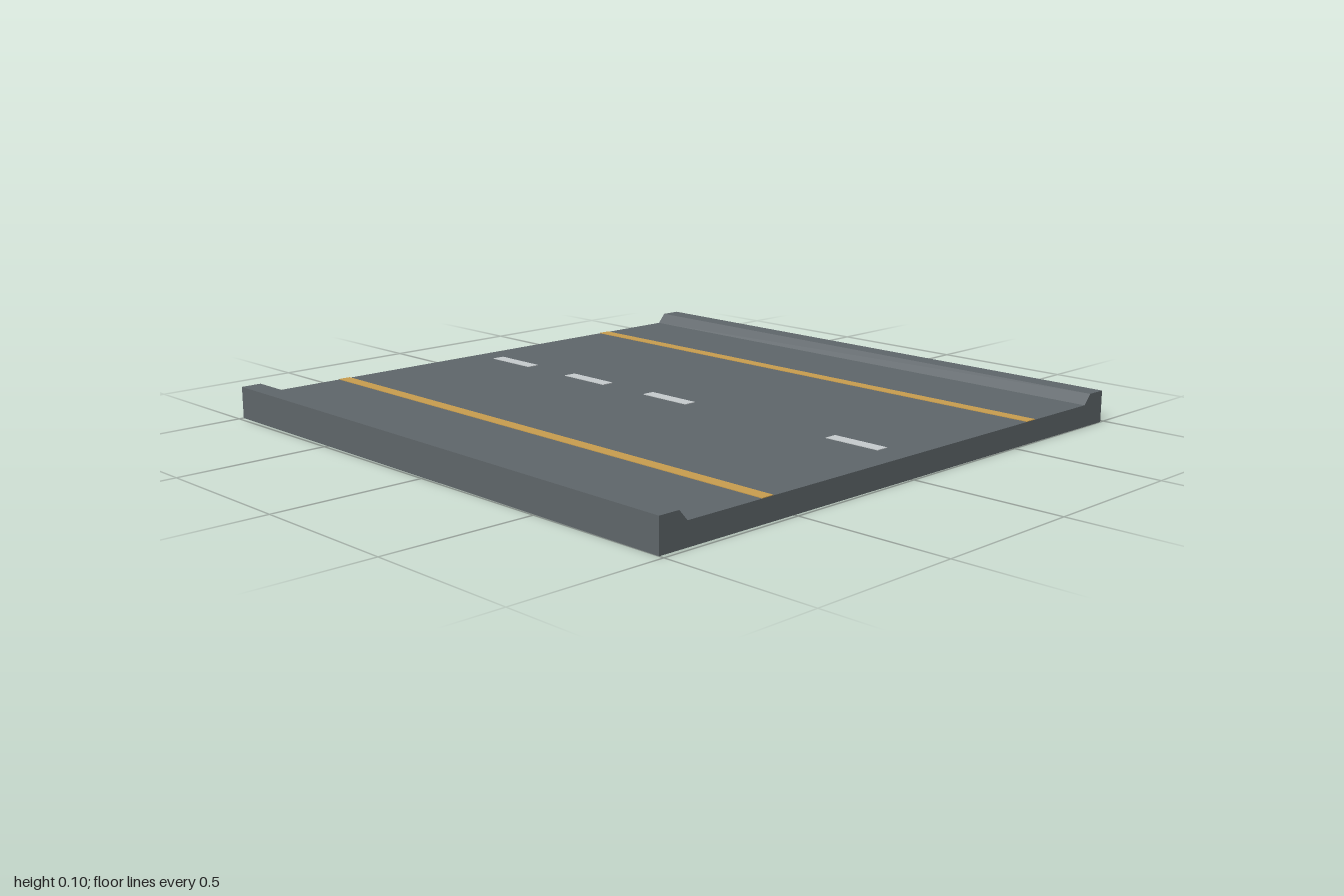
import * as THREE from 'three';

const HALF = 0.9915, ROAD_Y = 0.072, CURB_Y = 0.105;

function material(name, color) {
  const m = new THREE.MeshStandardMaterial({ color });
  m.name = name;
  return m;
}

export function createModel() {
  const asphalt = material('asphalt grey', 0x5f666a);
  const yellow = material('line yellow', 0xc89d4e);
  const white = material('dash white', 0xc6cbcd);

  const group = new THREE.Group();
  group.name = 'roadSection';

  // Road slab with a bevelled curb along each side
  const profile = new THREE.Shape([
    [-HALF, 0], [HALF, 0], [HALF, CURB_Y], [0.922, CURB_Y], [0.893, ROAD_Y],
    [-0.893, ROAD_Y], [-0.922, CURB_Y], [-HALF, CURB_Y],
  ].map(([x, y]) => new THREE.Vector2(x, y)));
  const slabGeometry = new THREE.ExtrudeGeometry(profile, { depth: 2 * HALF, bevelEnabled: false });
  slabGeometry.translate(0, 0, -HALF);
  const slab = new THREE.Mesh(slabGeometry, asphalt);
  slab.name = 'roadSlab';
  group.add(slab);

  // Thin painted plates lying on the road
  function paint(name, mat, x, z, width, length) {
    const mesh = new THREE.Mesh(new THREE.BoxGeometry(width, 0.002, length), mat);
    mesh.name = name;
    mesh.position.set(x, ROAD_Y + 0.001, z);
    group.add(mesh);
  }

  // Solid edge lines
  paint('leftEdgeLine', yellow, 0.596, 0, 0.043, 2 * HALF);
  paint('rightEdgeLine', yellow, -0.598, 0, 0.043, 2 * HALF);

  // Centre dashes, with one missing from the even spacing
  for (const step of [-2, -1, 0, 2]) {
    paint('centreDash', white, -0.002, -0.003 + step * 0.397, 0.043, 0.199);
  }

  // The whole section sits slightly askew
  group.rotation.y = -0.0085;
  return group;
}
